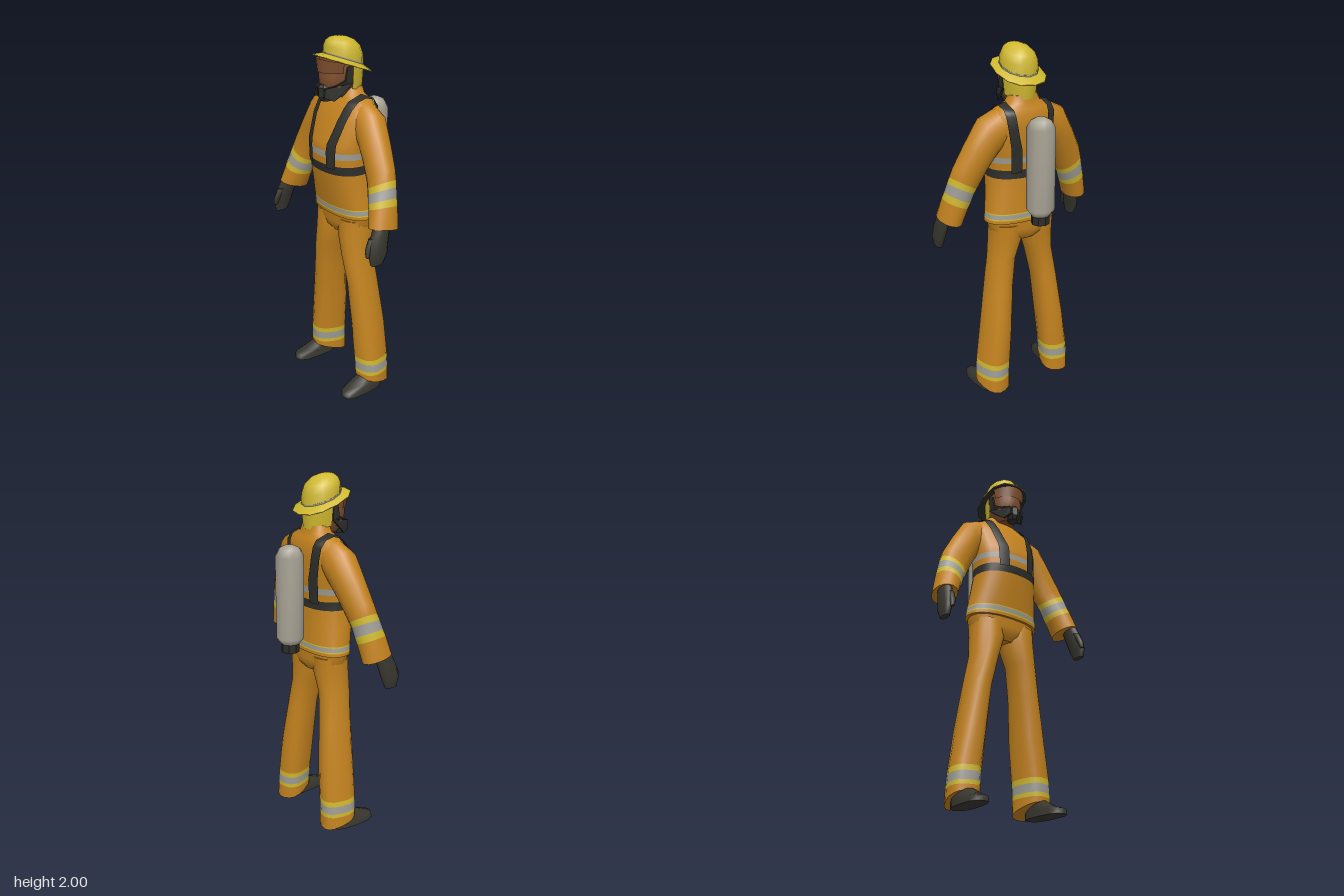
import * as THREE from 'three';

const mat = (name, color, side = THREE.FrontSide) => {
  const m = new THREE.MeshStandardMaterial({ color, side });
  m.name = name;
  return m;
};

// Ring: y, cx, cz centre; rx, rz radii; sx, sz tilt of the ring; rot turn; n squareness
const ring = (y, cx, cz, rx, rz, o = {}) => ({ y, cx, cz, rx, rz, sx: 0, sz: 0, rot: 0, n: 2, ...o });
const pw = (v, n) => Math.sign(v) * Math.abs(v) ** (2 / n);

function ringPoint(r, a, side) {
  const u = r.rx * pw(Math.cos(a), r.n), v = r.rz * pw(Math.sin(a), r.n), t = r.rot * side;
  const dx = u * Math.cos(t) + v * Math.sin(t), dz = v * Math.cos(t) - u * Math.sin(t);
  return [r.cx * side + dx, r.y + r.sx * side * dx + r.sz * dz, r.cz + dz];
}

// Skin through rings listed from bottom to top; mats is one material or one per strip
function loft(name, rings, mats, { seg = 16, side = 1, arc = null, flat = false } = {}) {
  const pos = [], idx = [], geo = new THREE.BufferGeometry();
  const cols = arc ? seg + 1 : seg, [a0, a1] = arc || [0, Math.PI * 2];
  const add = r => {
    for (let j = 0; j < cols; j++) pos.push(...ringPoint(r, a0 + (a1 - a0) * j / seg, side));
  };
  rings.forEach(add);
  const many = Array.isArray(mats);
  for (let i = 0; i < rings.length - 1; i++) {
    const start = idx.length;
    for (let j = 0; j < seg; j++) {
      const k = (j + 1) % cols, L = i * cols, U = L + cols;
      idx.push(L + k, L + j, U + j, L + k, U + j, U + k);
    }
    if (many) geo.addGroup(start, idx.length - start, i);
  }
  // Closed ends
  if (!arc) [0, rings.length - 1].forEach(e => {
    const base = pos.length / 3, r = rings[e], start = idx.length;
    add(r);
    pos.push(r.cx * side, r.y, r.cz);
    for (let j = 0; j < seg; j++) {
      const p = base + j, q = base + (j + 1) % seg, c = base + seg;
      if (e) idx.push(q, p, c); else idx.push(p, q, c);
    }
    if (many) geo.addGroup(start, idx.length - start, e ? rings.length - 2 : 0);
  });
  geo.setAttribute('position', new THREE.Float32BufferAttribute(pos, 3));
  geo.setIndex(idx);
  const g = flat ? geo.toNonIndexed() : geo;
  g.computeVertexNormals();
  const mesh = new THREE.Mesh(g, mats);
  mesh.name = name;
  return mesh;
}

export function createModel() {
  const model = new THREE.Group();
  model.name = 'firefighter';
  const D = THREE.DoubleSide;
  const cloth = mat('orangeCloth', 0xc4831f), yellow = mat('yellow', 0xcfb82f, D), silver = mat('silverTape', 0x9d9c95);
  const black = mat('blackWebbing', 0x2d2d2a, D), rubber = mat('darkRubber', 0x38372f);
  const skin = mat('brownFace', 0x80502f, D), steel = mat('tankGrey', 0xa9a395);
  const put = (...a) => model.add(loft(...a));

  // Jacket with hem tape, belt, chest tape and collar: [y, rx, back z, front z, material of strip above]
  const jacket = [
    [1.05, 0.222, -0.082, 0.15, cloth], [1.068, 0.22, -0.082, 0.152, yellow], [1.076, 0.219, -0.082, 0.153, silver],
    [1.1, 0.216, -0.081, 0.156, yellow], [1.106, 0.215, -0.081, 0.157, cloth], [1.2, 0.2, -0.075, 0.175, cloth],
    [1.3, 0.187, -0.07, 0.195, black], [1.348, 0.187, -0.072, 0.2, cloth], [1.386, 0.188, -0.075, 0.2, silver],
    [1.42, 0.19, -0.08, 0.2, cloth], [1.46, 0.195, -0.085, 0.196, cloth], [1.58, 0.212, -0.09, 0.15, cloth],
    [1.64, 0.2, -0.085, 0.117, cloth], [1.675, 0.165, -0.07, 0.092, cloth], [1.7, 0.1, -0.055, 0.078, cloth],
    [1.74, 0.08, -0.05, 0.07, cloth],
  ].map(([y, rx, b, f, m]) => ({ ...ring(y, 0, (b + f) / 2, rx, (f - b) / 2, { n: 2.3 }), m }));
  put('jacket', jacket, jacket.slice(0, -1).map(r => r.m), { seg: 28 });

  // Point on the jacket at height y and offset x, on the front (1) or back (-1)
  const onJacket = (x, y, face) => {
    const i = Math.max(1, jacket.findIndex(r => r.y >= y)), a = jacket[i - 1], b = jacket[i];
    const t = (y - a.y) / (b.y - a.y), mix = k => a[k] + (b[k] - a[k]) * t;
    const k = Math.max(0, 1 - Math.min(1, x / mix('rx')) ** 2.3) ** (1 / 2.3);
    return [x, y + 0.004, mix('cz') + face * (mix('rz') * k + 0.009)];
  };
  // Shoulder straps: [y, inner x, outer x]
  const strapRows = [[1.33, 0.06, 0.115], [1.42, 0.062, 0.12], [1.46, 0.066, 0.122], [1.52, 0.08, 0.132],
    [1.58, 0.092, 0.143], [1.64, 0.1, 0.15], [1.66, 0.102, 0.151], [1.675, 0.104, 0.15]];
  for (const side of [1, -1]) {
    const pos = [], idx = [], cols = 4;
    const row = f => { for (let j = 0; j < cols; j++) pos.push(...f(j / (cols - 1))); };
    const face = d => ([y, a, b]) => row(t => {
      const [x, py, z] = onJacket(a + (b - a) * t, y, d);
      return [x * side, py, z];
    });
    strapRows.forEach(face(1));
    row(t => [side * (0.105 + 0.046 * t), 1.707 - 0.014 * t, 0.01]);
    [...strapRows].reverse().forEach(face(-1));
    for (let i = 0; i < strapRows.length * 2; i++) for (let j = 0; j < cols - 1; j++) {
      const p = i * cols + j, q = p + cols;
      if (side > 0) idx.push(p, p + 1, q, p + 1, q + 1, q);
      else idx.push(p, q, p + 1, p + 1, q, q + 1);
    }
    const g = new THREE.BufferGeometry();
    g.setAttribute('position', new THREE.Float32BufferAttribute(pos, 3));
    g.setIndex(idx);
    g.computeVertexNormals();
    const strap = new THREE.Mesh(g, black);
    strap.name = side > 0 ? 'leftStrap' : 'rightStrap';
    model.add(strap);
  }

  // Seat of the trousers
  put('trouserSeat', [ring(0.93, 0, 0.03, 0.09, 0.07), ring(0.96, 0, 0.03, 0.17, 0.095),
    ring(1, 0, 0.032, 0.2, 0.102, { n: 2.4 }), ring(1.08, 0, 0.034, 0.207, 0.105, { n: 2.4 })], cloth);

  for (const side of [1, -1]) {
    const tag = side > 0 ? 'left' : 'right';
    // Trouser leg with taped cuff
    const q = { rot: 0.3, sz: 0.06, n: 2.5 };
    put(tag + 'Leg', [
      ring(0.045, 0.218, 0.005, 0.083, 0.1, { ...q, sz: 0.33 }), ring(0.1, 0.216, 0.006, 0.083, 0.1, q),
      ring(0.122, 0.215, 0.007, 0.083, 0.1, q), ring(0.168, 0.212, 0.008, 0.082, 0.1, q),
      ring(0.198, 0.209, 0.009, 0.082, 0.1, q), ring(0.4, 0.185, 0.014, 0.079, 0.1, { rot: 0.2, n: 2.3 }),
      ring(0.65, 0.155, 0.03, 0.072, 0.092, { rot: 0.1, n: 2.2 }), ring(0.82, 0.125, 0.045, 0.077, 0.093),
      ring(0.94, 0.101, 0.038, 0.096, 0.1), ring(1.03, 0.1, 0.032, 0.098, 0.1),
    ], [cloth, yellow, silver, yellow, cloth, cloth, cloth, cloth, cloth], { side });
    // Boot
    put(tag + 'Boot', [ring(0, 0.238, 0.098, 0.058, 0.136, { n: 2.7, rot: 0.05 }),
      ring(0.03, 0.238, 0.096, 0.057, 0.132, { n: 2.7, rot: 0.05 }),
      ring(0.058, 0.234, 0.07, 0.05, 0.105, { n: 2.6, sz: -0.1 }),
      ring(0.085, 0.228, 0.035, 0.042, 0.075)], rubber, { side, seg: 12 });
    // Sleeve with taped forearm
    put(tag + 'Sleeve', [
      ring(1.088, 0.415, 0.1, 0.064, 0.085, { sx: 0.18, sz: 0.2 }), ring(1.185, 0.386, 0.081, 0.067, 0.08, { sx: 0.42, sz: 0.1 }),
      ring(1.217, 0.373, 0.074, 0.069, 0.078, { sx: 0.48, sz: 0.06 }), ring(1.265, 0.357, 0.065, 0.071, 0.075, { sx: 0.52 }),
      ring(1.295, 0.345, 0.058, 0.073, 0.073, { sx: 0.56 }), ring(1.335, 0.328, 0.05, 0.073, 0.072, { sx: 0.7 }),
      ring(1.43, 0.278, 0.036, 0.06, 0.078, { sx: 1.2 }), ring(1.53, 0.218, 0.022, 0.038, 0.088, { sx: 2.8 }),
      ring(1.585, 0.14, 0.015, 0.03, 0.08, { sx: 3 }),
    ], [cloth, yellow, silver, yellow, cloth, cloth, cloth, cloth], { side });
    // Glove and thumb
    put(tag + 'Glove', [ring(0.918, 0.452, 0.17, 0.016, 0.036, { n: 2.6 }), ring(0.97, 0.452, 0.163, 0.025, 0.055, { n: 2.6 }),
      ring(1.04, 0.44, 0.148, 0.033, 0.058), ring(1.12, 0.428, 0.12, 0.034, 0.05)], rubber, { side, seg: 10 });
    put(tag + 'Thumb', [ring(0.965, 0.44, 0.218, 0.01, 0.012), ring(1.0, 0.435, 0.212, 0.016, 0.019),
      ring(1.06, 0.43, 0.18, 0.018, 0.024)], rubber, { side, seg: 8 });
    // Side frame of the breathing mask, bent inward to the chin
    const s = new THREE.Shape([[0.055, 1.86], [0.085, 1.85], [0.095, 1.785], [0.15, 1.757], [0.19, 1.745],
      [0.195, 1.7], [0.15, 1.68], [0.1, 1.72], [0.055, 1.765]].map(p => new THREE.Vector2(...p)));
    const g = new THREE.ExtrudeGeometry(s, { depth: 0.012, bevelEnabled: false });
    g.rotateY(-Math.PI / 2);
    const p = g.attributes.position;
    for (let i = 0; i < p.count; i++)
      p.setX(i, p.getX(i) + 0.006 + side * (0.088 - 0.5 * Math.max(0, p.getZ(i) - 0.095)));
    g.computeVertexNormals();
    const frame = new THREE.Mesh(g, black);
    frame.name = tag + 'MaskFrame';
    model.add(frame);
  }

  // Head, visor and breathing mask
  put('face', [ring(1.69, 0, 0.09, 0.045, 0.05), ring(1.74, 0, 0.08, 0.076, 0.095, { n: 2.3 }),
    ring(1.8, 0, 0.07, 0.086, 0.112, { n: 2.3 }), ring(1.87, 0, 0.06, 0.092, 0.118, { sz: 0.3 })], skin);
  put('visor', [ring(1.822, 0, 0.055, 0.105, 0.134), ring(1.865, 0, 0.055, 0.118, 0.14, { sz: 0.2 })], skin,
    { seg: 10, arc: [Math.PI * 0.14, Math.PI * 0.86] });
  put('breathingMask', [ring(1.675, 0, 0.155, 0.028, 0.032), ring(1.7, 0, 0.162, 0.035, 0.038),
    ring(1.745, 0, 0.16, 0.038, 0.04), ring(1.76, 0, 0.155, 0.026, 0.035)], black, { seg: 8, flat: true });

  // Helmet: neck flap, brim, band and dome
  put('neckFlap', [ring(1.735, 0, 0.05, 0.087, 0.108, { sz: 0.15 }), ring(1.79, 0, 0.05, 0.092, 0.112, { sz: 0.2 }),
    ring(1.865, 0, 0.05, 0.098, 0.115, { sz: 0.35 })], yellow, { seg: 10, arc: [Math.PI, Math.PI * 2] });
  const tilt = { sz: 0.36 };
  put('helmetBrim', [ring(1.86, 0, 0.045, 0.09, 0.1, tilt), ring(1.85, 0, 0.048, 0.136, 0.149, { ...tilt, n: 2.4 }),
    ring(1.856, 0, 0.048, 0.136, 0.149, { ...tilt, n: 2.4 }), ring(1.876, 0, 0.045, 0.1, 0.106, tilt)],
  [black, yellow, yellow], { seg: 12 });
  put('helmetBand', [ring(1.868, 0, 0.045, 0.104, 0.109, tilt), ring(1.882, 0, 0.045, 0.103, 0.108, tilt)], silver, { seg: 12 });
  put('helmetDome', [ring(1.865, 0, 0.044, 0.102, 0.107, tilt), ring(1.92, 0, 0.044, 0.1, 0.104, { sz: 0.28 }),
    ring(1.957, 0, 0.046, 0.083, 0.092, { sz: 0.22 }), ring(1.982, 0, 0.052, 0.052, 0.066, { sz: 0.16 }),
    ring(1.994, 0, 0.06, 0.018, 0.03, { sz: 0.1 })], yellow, { seg: 12 });

  // Air tank on the back with its valve
  const tankRing = (y, r) => ring(y, 0, -0.161, r, r);
  put('airTank', [tankRing(1.108, 0.05), tankRing(1.145, 0.078), tankRing(1.59, 0.078), tankRing(1.63, 0.055),
    tankRing(1.645, 0.025)], steel, { seg: 10 });
  put('tankValve', [tankRing(1.06, 0.05), tankRing(1.11, 0.05)], black, { seg: 8, flat: true });
  return model;
}
